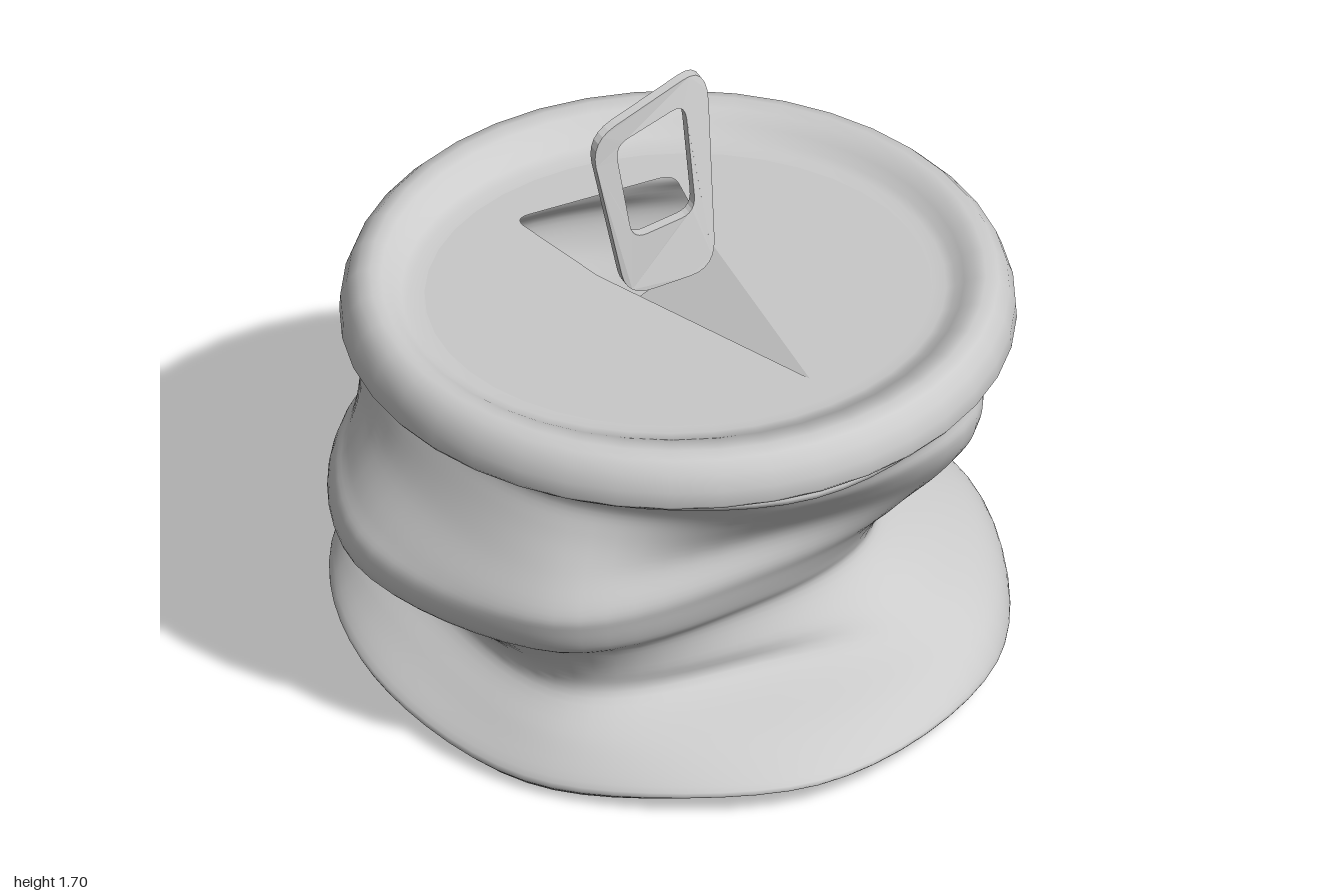
import * as THREE from 'three';
import { mergeVertices } from 'three/addons/utils/BufferGeometryUtils.js';

const material = new THREE.MeshStandardMaterial({ color: 0xcccccc, side: THREE.DoubleSide });
const CX = 0.015, CZ = 0.07; // centre of the shifted lid
const PANEL_Y = 1.14;
const panelTilt = z => 0.055 * (z - CZ); // the lid panel sinks towards the back

function part(name, geometry) {
  const mesh = new THREE.Mesh(geometry, material);
  mesh.name = name;
  return mesh;
}

// Polygon with rounded corners, as a Shape or a Path; points are [x, y, radius]
function roundedPolygon(points, Kind) {
  const path = new Kind();
  const n = points.length;
  points.forEach(([x, y, r], i) => {
    const corner = new THREE.Vector2(x, y);
    const toward = ([px, py]) => new THREE.Vector2(px, py).sub(corner).setLength(r).add(corner);
    const a = toward(points[(i + n - 1) % n]), b = toward(points[(i + 1) % n]);
    if (i === 0) path.moveTo(a.x, a.y); else path.lineTo(a.x, a.y);
    if (r > 0) path.quadraticCurveTo(x, y, b.x, b.y);
  });
  path.closePath();
  return path;
}

// Crumpled wall: height, then radii every 45 degrees from +x towards +z
const RINGS = [
  [1.06, .92, .97, .98, .95, .89, .85, .84, .87],
  [1.02, .91, .95, .98, .92, .85, .83, .82, .86],
  [0.95, .86, .91, .87, .80, .70, .77, .75, .78],
  [0.88, .82, .92, .82, .75, .70, .86, .76, .81],
  [0.80, .80, .90, .75, .78, .74, .88, .82, .81],
  [0.70, .78, .83, .68, .84, .80, .86, .81, .77],
  [0.60, .69, .73, .68, .90, .89, .86, .76, .69],
  [0.54, .63, .67, .66, .90, .94, .89, .745, .63],
  [0.46, .59, .62, .63, .87, .94, .91, .72, .60],
  [0.40, .62, .62, .60, .80, .85, .89, .74, .62],
  [0.30, .76, .72, .62, .74, .70, .83, .88, .77],
  [0.22, .90, .85, .64, .74, .67, .88, .96, .90],
  [0.15, .95, .94, .86, .84, .77, .93, 1.0, .96],
  [0.08, .95, .98, 1.0, .92, .88, .95, 1.0, .97],
  [0.05, .92, .96, .97, .90, .86, .93, .98, .94],
];

function createBody() {
  const SIDES = 64, STEPS = 70;
  const loops = RINGS.map(([y, ...radii]) => new THREE.CatmullRomCurve3(radii.map((r, k) => {
    const a = k * Math.PI / 4;
    return new THREE.Vector3(r * Math.cos(a), y, r * Math.sin(a));
  }), true, 'catmullrom', 0.5));

  const columns = [];
  for (let j = 0; j < SIDES; j++) {
    const curve = new THREE.CatmullRomCurve3(loops.map(l => l.getPoint(j / SIDES)), false, 'catmullrom', 0.5);
    const column = curve.getPoints(STEPS);
    // close the underside with shrinking rings
    const edge = column[STEPS];
    for (const s of [0.94, 0.87, 0.6, 0.3, 0]) {
      column.push(new THREE.Vector3(edge.x * s, s > 0.9 ? 0.042 : 0.046, edge.z * s));
    }
    columns.push(column);
  }

  // the base sags at its front right edge
  const positions = [], index = [], rows = columns[0].length;
  for (let i = 0; i < rows; i++) {
    for (let j = 0; j < SIDES; j++) {
      const p = columns[j][i];
      const d2 = (p.x + 0.65) ** 2 + (p.z - 0.55) ** 2;
      const sag = 0.042 * Math.exp(-d2 / 0.16) * THREE.MathUtils.clamp(1 - (p.y - 0.05) / 0.15, 0, 1);
      positions.push(p.x, p.y - sag, p.z);
      if (i < rows - 1) {
        const a = i * SIDES + j, b = i * SIDES + (j + 1) % SIDES;
        index.push(a, b, a + SIDES, b, b + SIDES, a + SIDES);
      }
    }
  }
  const geometry = new THREE.BufferGeometry();
  geometry.setAttribute('position', new THREE.Float32BufferAttribute(positions, 3));
  geometry.setIndex(index);
  const body = mergeVertices(geometry);
  body.computeVertexNormals();
  return part('crumpledBody', body);
}

function createLid() {
  const lid = new THREE.Group();
  lid.name = 'lid';

  // Rolled rim whose inner wall follows the tilted panel
  const profile = [[.86, 1.052], [.925, 1.052], [.935, 1.065], [.932, 1.11], [.915, 1.155], [.885, 1.187],
    [.85, 1.197], [.82, 1.19], [.79, 1.17], [.765, 1.15], [.74, 1.142], [.70, PANEL_Y]];
  const rimGeometry = new THREE.LatheGeometry(profile.map(p => new THREE.Vector2(...p)), 40);
  rimGeometry.translate(CX, 0, CZ);
  const p = rimGeometry.attributes.position;
  for (let i = 0; i < p.count; i++) {
    const r = Math.hypot(p.getX(i) - CX, p.getZ(i) - CZ);
    const weight = THREE.MathUtils.clamp((0.84 - r) / 0.09, 0, 1);
    p.setY(i, p.getY(i) + weight * panelTilt(p.getZ(i)));
  }
  lid.add(part('rim', rimGeometry));

  // Panel, cut away for the mouth and the crease in front of it
  const panel = new THREE.Shape().absarc(CX, -CZ, 0.702, 0, Math.PI * 2);
  panel.holes.push(roundedPolygon([[-.23, .47, .05], [.26, .47, .05], [.2, .1, 0], [.14, -.65, 0], [-.15, .1, 0]], THREE.Path));
  const panelGeometry = new THREE.ShapeGeometry(panel, 40);
  panelGeometry.rotateX(-Math.PI / 2);
  const q = panelGeometry.attributes.position;
  for (let i = 0; i < q.count; i++) q.setY(i, PANEL_Y + panelTilt(q.getZ(i)));
  panelGeometry.computeVertexNormals();
  lid.add(part('panel', panelGeometry));

  // Two creased facets: a steep left one and a broad sloping right one
  const onPanel = (x, z, drop = 0) => [x, PANEL_Y + panelTilt(z) - drop, z];
  const a = onPanel(-.15, -.1), b = onPanel(.2, -.1), tip = onPanel(.14, .65), valley = onPanel(-.1, -.09, .14);
  const crease = new THREE.BufferGeometry();
  crease.setAttribute('position', new THREE.Float32BufferAttribute([a, tip, valley, valley, tip, b].flat(), 3));
  crease.computeVertexNormals();
  lid.add(part('crease', crease));
  return lid;
}

// Raised pull ring, twisted backwards on its left side
function createTab() {
  const shape = roundedPolygon([[-.24, 1.7, .1], [.22, 1.685, .1], [.16, 1.13, .08], [-.12, 1.13, .08]], THREE.Shape);
  shape.holes.push(roundedPolygon([[-.145, 1.63, .05], [.125, 1.62, .05], [.12, 1.305, .05], [-.095, 1.305, .05]], THREE.Path));
  const geometry = new THREE.ExtrudeGeometry(shape, { depth: 0.03, bevelEnabled: false, curveSegments: 6 });
  const p = geometry.attributes.position;
  for (let i = 0; i < p.count; i++) {
    const across = (p.getX(i) + 0.23) / 0.44;
    const up = THREE.MathUtils.clamp((p.getY(i) - 1.1) / 0.58, 0, 1);
    p.setZ(i, p.getZ(i) + 0.01 - across * (0.03 + 0.18 * up));
  }
  geometry.computeVertexNormals();
  return part('pullTab', geometry);
}

export function createModel() {
  const model = new THREE.Group();
  model.name = 'crushedCan';
  model.add(createBody(), createLid(), createTab());
  return model;
}
